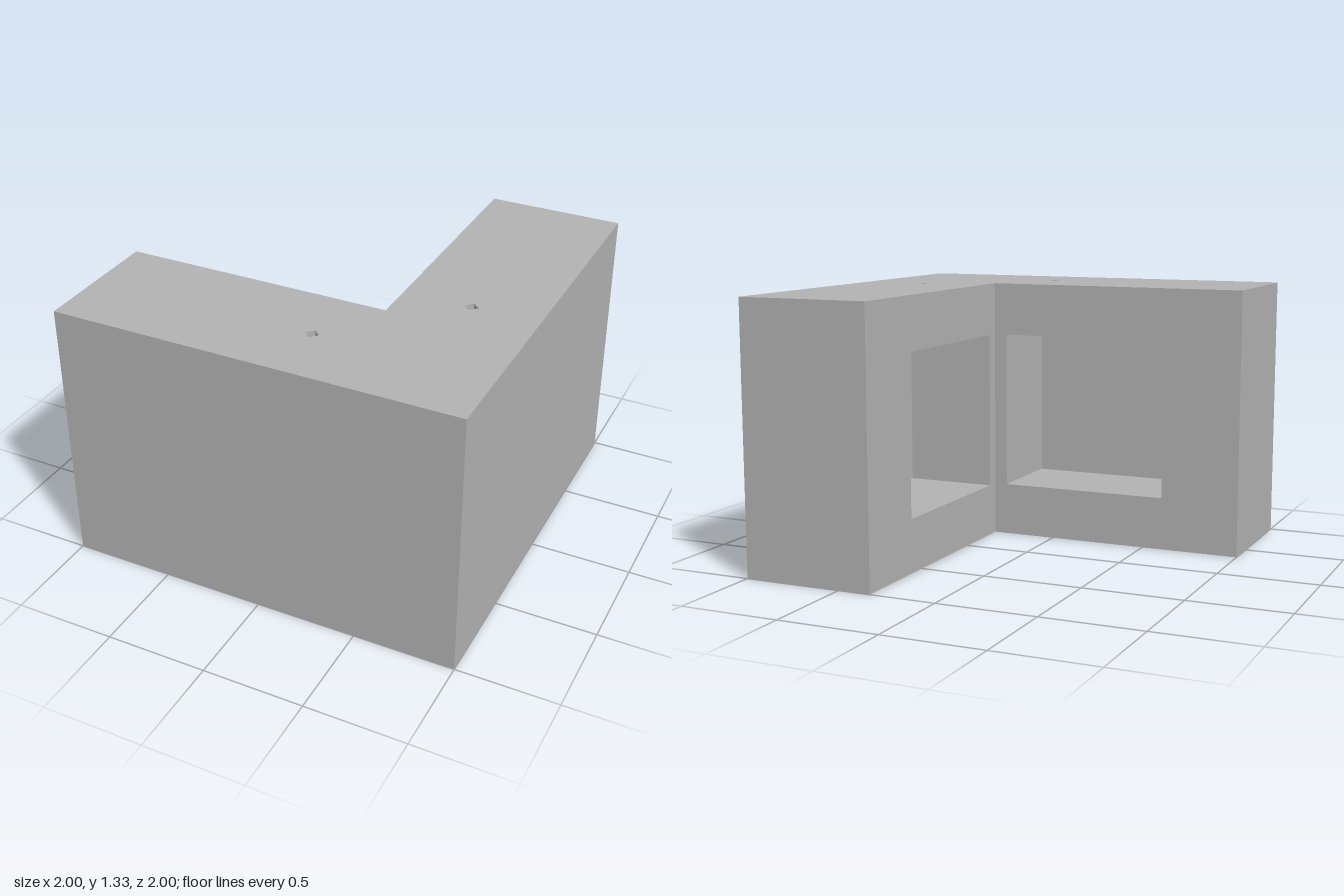
import * as THREE from 'three';
import { mergeGeometries } from 'three/addons/utils/BufferGeometryUtils.js';

const H = 4 / 3, INNER = 1 / 3;                      // height, inner corner of the L
const NICHE = { x0: -0.6, x1: 0.267, y0: 0.267, y1: 1.067, back: 0.8 };
const HOLE = { x: 0.133, z: 0.667, r: 0.034 };       // diamond hole in the top

const rect = (u0, v0, u1, v1) => [[u0, v0], [u1, v0], [u1, v1], [u0, v1]];
const diamond = (u, v) => [[u + HOLE.r, v], [u, v + HOLE.r], [u - HOLE.r, v], [u, v - HOLE.r]];
const vectors = (pts) => pts.map(([u, v]) => new THREE.Vector2(u, v));

// Flat panel: place() maps (u, v) to a point, facing gives the outward direction
function panel(outline, holes, place, facing) {
  const shape = new THREE.Shape(vectors(outline));
  holes.forEach((h) => shape.holes.push(new THREE.Path(vectors(h))));
  const geo = new THREE.ShapeGeometry(shape);
  const pos = geo.attributes.position;
  for (let i = 0; i < pos.count; i++) pos.setXYZ(i, ...place(pos.getX(i), pos.getY(i)));
  const origin = new THREE.Vector3(...place(0, 0));
  const u = new THREE.Vector3(...place(1, 0)).sub(origin);
  const v = new THREE.Vector3(...place(0, 1)).sub(origin);
  if (u.cross(v).dot(new THREE.Vector3(...facing)) < 0) geo.index.array.reverse();
  geo.computeVertexNormals();
  return geo;
}

export function createModel() {
  const model = new THREE.Group();
  const grey = new THREE.MeshStandardMaterial({ color: 0xb2b2b2 });
  const add = (parent, name, ...geos) => {
    const mesh = new THREE.Mesh(mergeGeometries(geos), grey);
    mesh.name = name;
    parent.add(mesh);
  };

  // L-shaped top and underside
  const plan = [[-1, 1], [1, 1], [1, -1], [INNER, -1], [INNER, INNER], [-1, INNER]];
  const holes = [diamond(HOLE.x, HOLE.z), diamond(HOLE.z, HOLE.x)];
  add(model, 'top', panel(plan, holes, (u, v) => [u, H, v], [0, 1, 0]));
  add(model, 'underside', panel(plan, [], (u, v) => [u, 0, v], [0, -1, 0]));

  // Two matching wings; the side wing swaps x and z
  for (const swap of [false, true]) {
    const wing = new THREE.Group();
    wing.name = swap ? 'sideWing' : 'frontWing';
    model.add(wing);
    const turn = ([x, y, z]) => (swap ? [z, y, x] : [x, y, z]);
    const face = (outline, cuts, place, facing) =>
      panel(outline, cuts, (u, v) => turn(place(u, v)), turn(facing));
    const atZ = (z) => (u, v) => [u, v, z];
    const atX = (x) => (u, v) => [x, v, u];
    const atY = (y) => (u, v) => [u, y, v];
    const { x0, x1, y0, y1, back } = NICHE;
    const opening = rect(x0, y0, x1, y1);

    add(wing, 'outerWall', face(rect(-1, 0, 1, H), [], atZ(1), [0, 0, 1]));
    add(wing, 'endWall', face(rect(INNER, 0, 1, H), [], atX(-1), [-1, 0, 0]));
    add(wing, 'innerWall', face(rect(-1, 0, INNER, H), [opening], atZ(INNER), [0, 0, -1]));

    // Recessed niche
    const side = rect(INNER, y0, back, y1), floor = rect(x0, INNER, x1, back);
    add(wing, 'niche',
      face(opening, [], atZ(back), [0, 0, -1]),
      face(side, [], atX(x0), [1, 0, 0]),
      face(side, [], atX(x1), [-1, 0, 0]),
      face(floor, [], atY(y0), [0, 1, 0]),
      face(floor, [diamond(HOLE.x, HOLE.z)], atY(y1), [0, -1, 0]));

    // Shaft from the top down into the niche
    const ring = diamond(HOLE.x, HOLE.z);
    add(wing, 'topHole', ...ring.map(([ax, az], i) => {
      const [bx, bz] = ring[(i + 1) % 4];
      const inward = [HOLE.x - (ax + bx) / 2, 0, HOLE.z - (az + bz) / 2];
      return face(rect(0, y1, 1, H), [],
        (t, y) => [ax + (bx - ax) * t, y, az + (bz - az) * t], inward);
    }));
  }
  return model;
}
